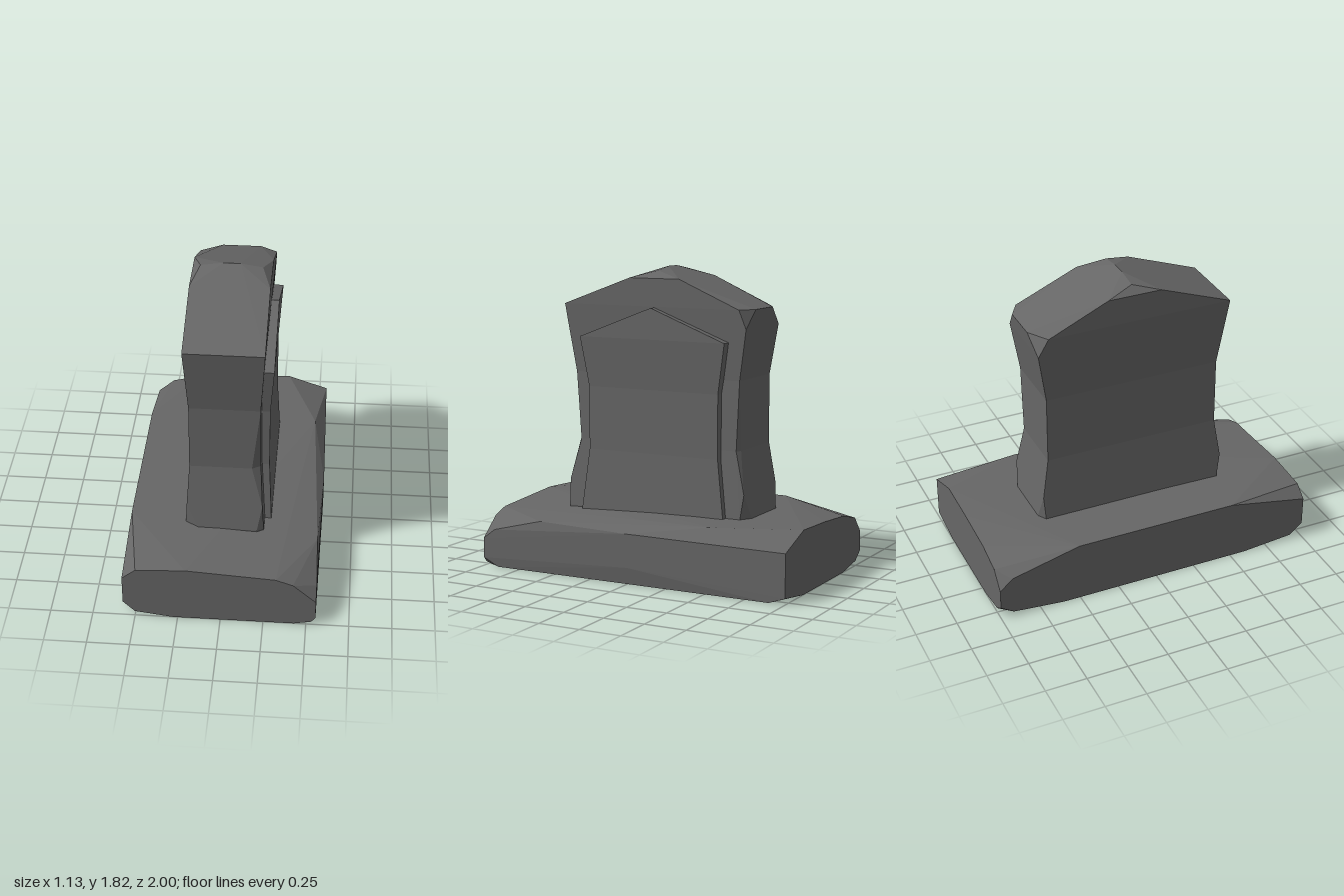
import * as THREE from 'three';
import { ConvexGeometry } from 'three/addons/geometries/ConvexGeometry.js';

const stone = new THREE.MeshStandardMaterial({ color: 0x666666 });
stone.name = 'grey stone';

// A faceted block wrapped around [x, y, z] points
function block(name, points) {
  const geometry = new ConvexGeometry(points.map((p) => new THREE.Vector3(...p)));
  const mesh = new THREE.Mesh(geometry, stone);
  mesh.name = name;
  return mesh;
}

// Horizontal section; chips = worn size of [front left, front right, back right, back left] as seen from the front
function section(y, halfZ, x0, x1, chips = [0, 0, 0, 0]) {
  const corners = [[x0, 1], [x1, 1], [x1, -1], [x0, -1]];
  return corners.flatMap(([x, s], i) => {
    const c = chips[i];
    const inward = x === x0 ? 1 : -1;
    if (!c) return [[x, y, s * halfZ]];
    return [[x + inward * c, y, s * halfZ], [x, y, s * (halfZ - c * 0.6)]];
  });
}

// Worn base slab: front and back outlines plus side and top points
function makeBase() {
  const front = [
    [-0.57, 0.1], [-0.5, 0.03], [-0.28, 0], [0.43, 0], [0.53, 0.02], [0.555, 0.05],
    [0.555, 0.17], [0.42, 0.29], [0.32, 0.325], [-0.2, 0.36], [-0.49, 0.345], [-0.57, 0.28],
  ].map(([x, y]) => [x, y, 1]);
  const back = [
    [0.55, 0.035], [0.3, 0], [-0.3, 0], [-0.5, 0.03], [-0.57, 0.08], [-0.57, 0.2],
    [-0.48, 0.3], [-0.3, 0.345], [0, 0.365], [0.3, 0.375], [0.55, 0.29],
  ].map(([x, y]) => [x, y, -1]);
  const sides = [
    [0.555, 0.23, 0.92], [0.545, 0.31, 0.6], [0.565, 0.1, 0], [0.565, 0.3, 0],
    [0.49, 0.375, -0.5], [0.43, 0.36, 0], [0.55, 0, 0.9], [0.55, 0, -0.9],
  ];
  for (const s of [-1, 1]) {
    sides.push([-0.57, 0.375, s * 0.5], [-0.57, 0.27, s * 0.92],
      [-0.57, 0.03, s * 0.92], [-0.57, 0, s * 0.6]);
  }
  return block('baseSlab', [...front, ...back, ...sides]);
}

// Waisted upright stone: flared foot, straight shaft, gabled head
function makeHeadstone() {
  const group = new THREE.Group();
  group.name = 'headstone';
  const waist = section(0.77, 0.545, -0.215, 0.2, [0, 0.05, 0.03, 0]);
  const shoulder = section(1.18, 0.545, -0.215, 0.197);
  const foot = [
    ...section(0.3, 0.605, -0.24, 0.225, [0.11, 0.05, 0.1, 0.08]),
    ...section(0.36, 0.61, -0.24, 0.225, [0.08, 0.04, 0.08, 0.06]),
    ...section(0.52, 0.585, -0.23, 0.215),
  ];
  const eaves = section(1.59, 0.61, -0.24, 0.222, [0, 0, 0.1, 0.13]);
  const ridge = [[-0.06, 1.82, 0], [0.04, 1.82, 0], [-0.19, 1.8, 0], [0.17, 1.8, 0]];
  for (const x of [-0.24, 0.222]) {
    ridge.push([x, 1.755, 0.165], [x, 1.755, 0], [x, 1.755, -0.165]);
  }
  group.add(
    block('foot', [...foot, ...waist]),
    block('shaft', [...waist, ...shoulder]),
    block('head', [...shoulder, ...section(1.48, 0.593, -0.233, 0.216), ...eaves, ...ridge]),
  );
  return group;
}

// Raised panel on the left side, echoing the headstone outline
function makePanel() {
  const group = new THREE.Group();
  group.name = 'sidePanel';
  const inner = 0.15;
  const bottom = section(0.3, 0.482, inner, 0.266);
  const low = section(0.72, 0.43, inner, 0.246);
  const high = section(1.1, 0.43, inner, 0.246);
  const eaves = section(1.4, 0.48, inner, 0.268);
  const peak = [[inner, 1.585, 0], [0.266, 1.585, 0]];
  group.add(
    block('panelFoot', [...bottom, ...low]),
    block('panelMiddle', [...low, ...high]),
    block('panelTop', [...high, ...eaves, ...peak]),
  );
  return group;
}

export function createModel() {
  const model = new THREE.Group();
  model.name = 'gravestone';
  model.add(makeBase(), makeHeadstone(), makePanel());
  return model;
}
